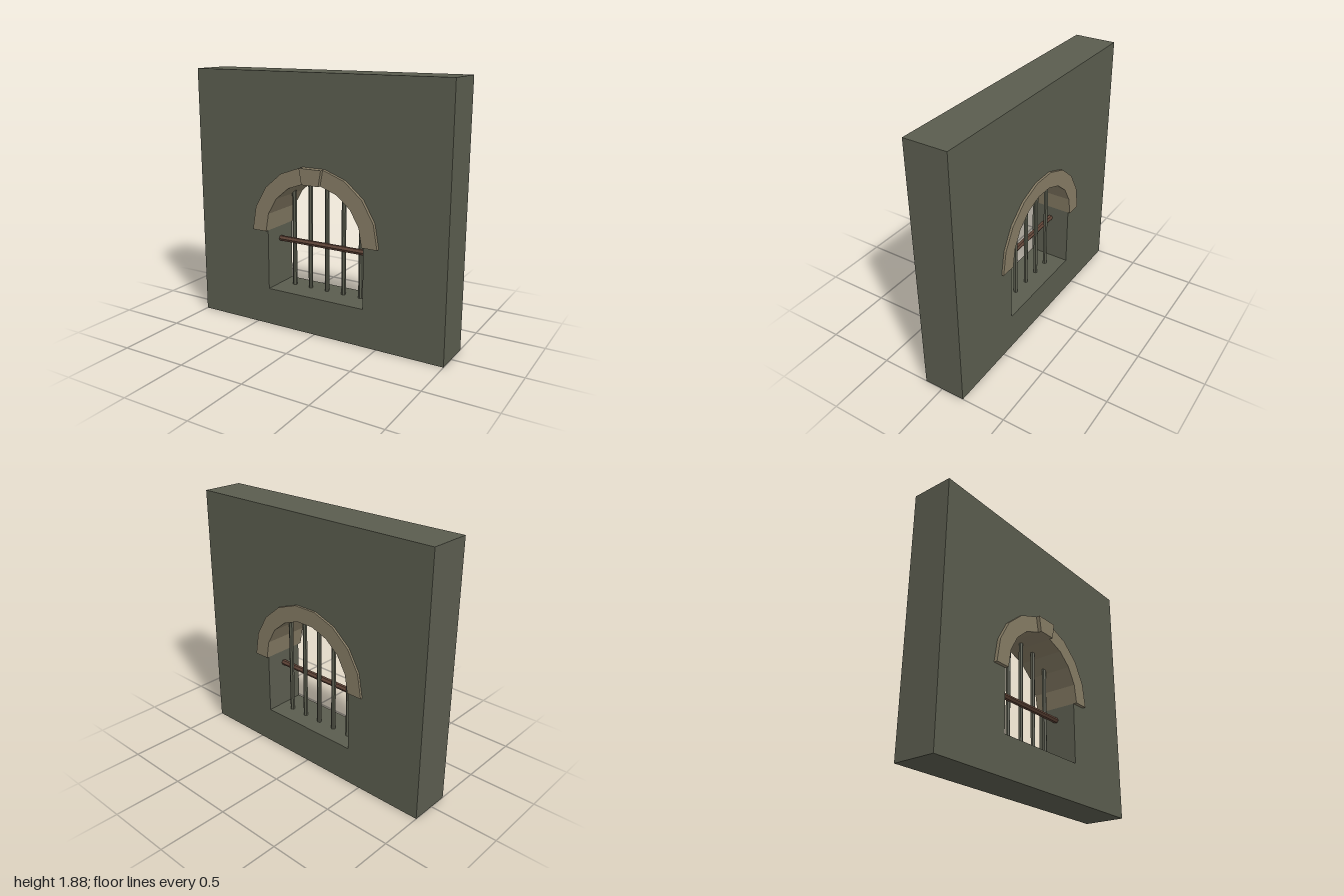
import * as THREE from 'three';

const SPRING = 0.73;            // height where the arch starts
const R_IN = 0.393, R_OUT = 0.51;
const SEGMENTS = 9;

const material = (name, color) => {
  const m = new THREE.MeshStandardMaterial({ color });
  m.name = name;
  return m;
};

// Point on the faceted arch, i counted from the +x springing
const archPoint = (r, i) => {
  const a = (i / SEGMENTS) * Math.PI;
  return new THREE.Vector2(r * Math.cos(a), SPRING + r * Math.sin(a));
};

// Arch points from facet corner a to facet corner b
const arc = (r, a, b) => {
  const pts = [];
  for (let i = a; i <= b; i++) pts.push(archPoint(r, i));
  return pts;
};

// Closed ring section between facet corners a and b
const ringShape = (a, b, rIn, rOut) =>
  new THREE.Shape([...arc(rOut, a, b), ...arc(rIn, a, b).reverse()]);

// Extrude a shape between two z positions
const slab = (shape, back, front) =>
  new THREE.ExtrudeGeometry(shape, { depth: front - back, bevelEnabled: false }).translate(0, 0, back);

export function createModel() {
  const group = new THREE.Group();
  group.name = 'barredWindowWall';
  const stone = material('wallStone', 0x5a5c4e);
  const trim = material('archStone', 0x857b64);
  const iron = material('barIron', 0x5a5c4e);
  const rust = material('rustyIron', 0x5f4437);

  const add = (name, geometry, mat, x = 0, y = 0, z = 0) => {
    const mesh = new THREE.Mesh(geometry, mat);
    mesh.name = name;
    mesh.position.set(x, y, z);
    group.add(mesh);
    return mesh;
  };

  // Wall with the arched opening; the upper part is cut wider to seat the arch
  const wall = new THREE.Shape([[-1, 0], [1, 0], [1, 1.88], [-1, 1.88]].map(p => new THREE.Vector2(...p)));
  wall.holes.push(new THREE.Path([
    new THREE.Vector2(-R_IN, 0.28), new THREE.Vector2(-R_IN, SPRING),
    ...arc(0.44, 0, SEGMENTS).reverse(),
    new THREE.Vector2(R_IN, SPRING), new THREE.Vector2(R_IN, 0.28),
  ]));
  add('wall', slab(wall, -0.174, 0.137), stone);

  // Arch through the wall, with a projecting keystone
  add('arch', slab(ringShape(0, SEGMENTS, R_IN, R_OUT), -0.19, 0.163), trim);
  add('keystone', slab(ringShape(4, 5, R_IN, R_OUT), 0.15, 0.19), trim);

  // Upright bars, their ends sunk into the sill and arch
  for (let i = -2; i <= 2; i++) {
    const x = i * 0.14;
    const bottom = 0.26, top = SPRING + Math.sqrt(0.42 ** 2 - x * x);
    const bar = new THREE.CylinderGeometry(0.0165, 0.0165, top - bottom, 6).toNonIndexed();
    bar.computeVertexNormals();
    add('uprightBar', bar, iron, x, (bottom + top) / 2, -0.045);
  }

  // Crossbar in front of the uprights
  const cross = new THREE.CylinderGeometry(0.021, 0.021, 0.82, 6).toNonIndexed();
  cross.computeVertexNormals();
  cross.rotateZ(Math.PI / 2);
  add('crossbar', cross, rust, 0, 0.634, -0.022);

  return group;
}
